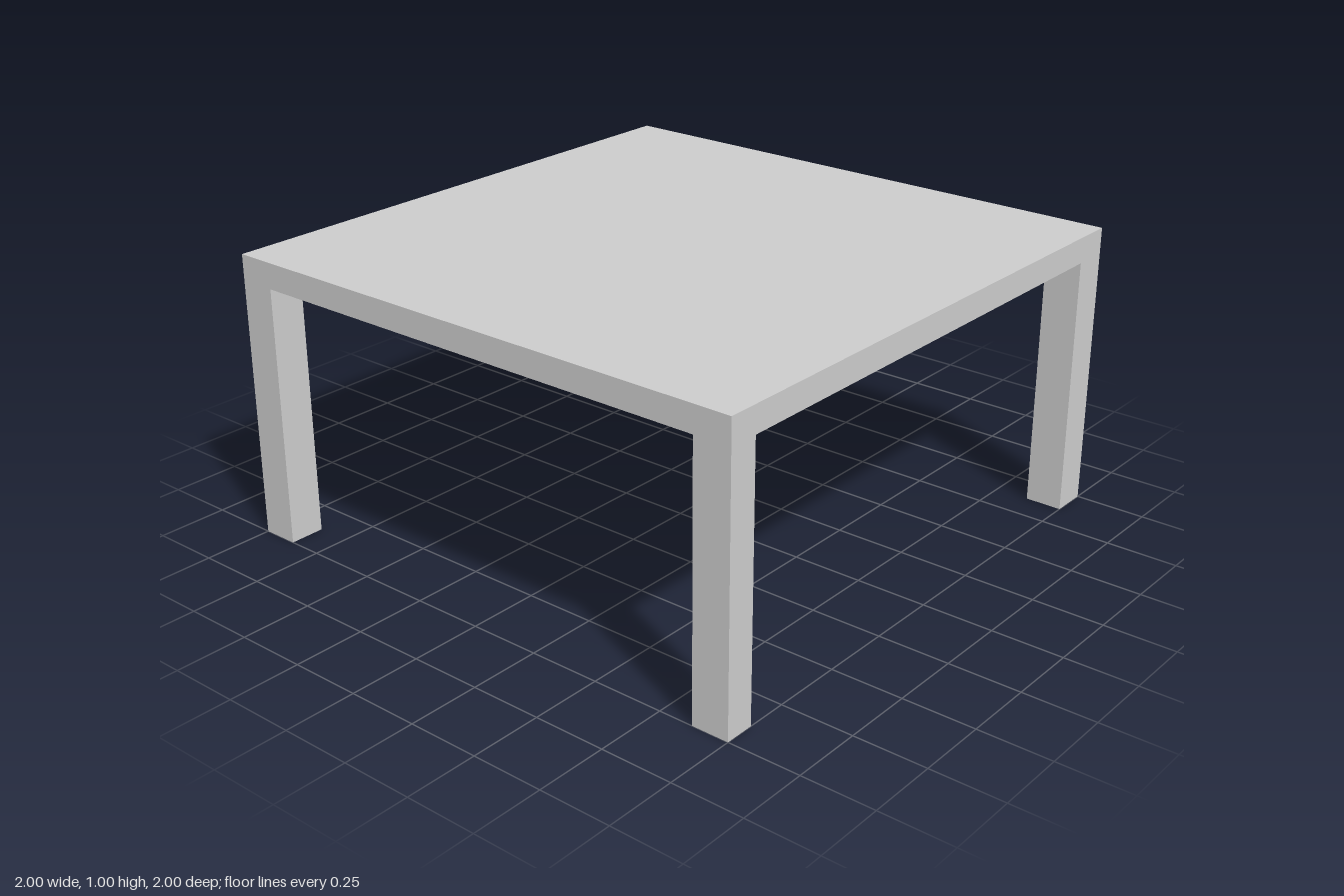
import * as THREE from 'three';

const HEIGHT = 1;
const TOP_THICKNESS = 0.09;
const LEG_WIDTH = 0.13;

export function createModel() {
  const table = new THREE.Group();
  table.name = 'table';
  const material = new THREE.MeshStandardMaterial({ color: 0xcccccc, flatShading: true });

  // Square slab
  const top = new THREE.Mesh(new THREE.BoxGeometry(2, TOP_THICKNESS, 2), material);
  top.name = 'tableTop';
  top.position.y = HEIGHT - TOP_THICKNESS / 2;
  table.add(top);

  // Corner legs, flush with the slab edges; the front left one is shallower
  const legHeight = HEIGHT - TOP_THICKNESS;
  const legs = [
    ['frontLeftLeg', 1, 1, 0.105],
    ['frontRightLeg', -1, 1, 0.125],
    ['backLeftLeg', 1, -1, 0.13],
    ['backRightLeg', -1, -1, 0.13],
  ];
  for (const [name, sx, sz, depth] of legs) {
    const leg = new THREE.Mesh(new THREE.BoxGeometry(LEG_WIDTH, legHeight, depth), material);
    leg.name = name;
    leg.position.set(sx * (1 - LEG_WIDTH / 2), legHeight / 2, sz * (1 - depth / 2));
    table.add(leg);
  }
  return table;
}
